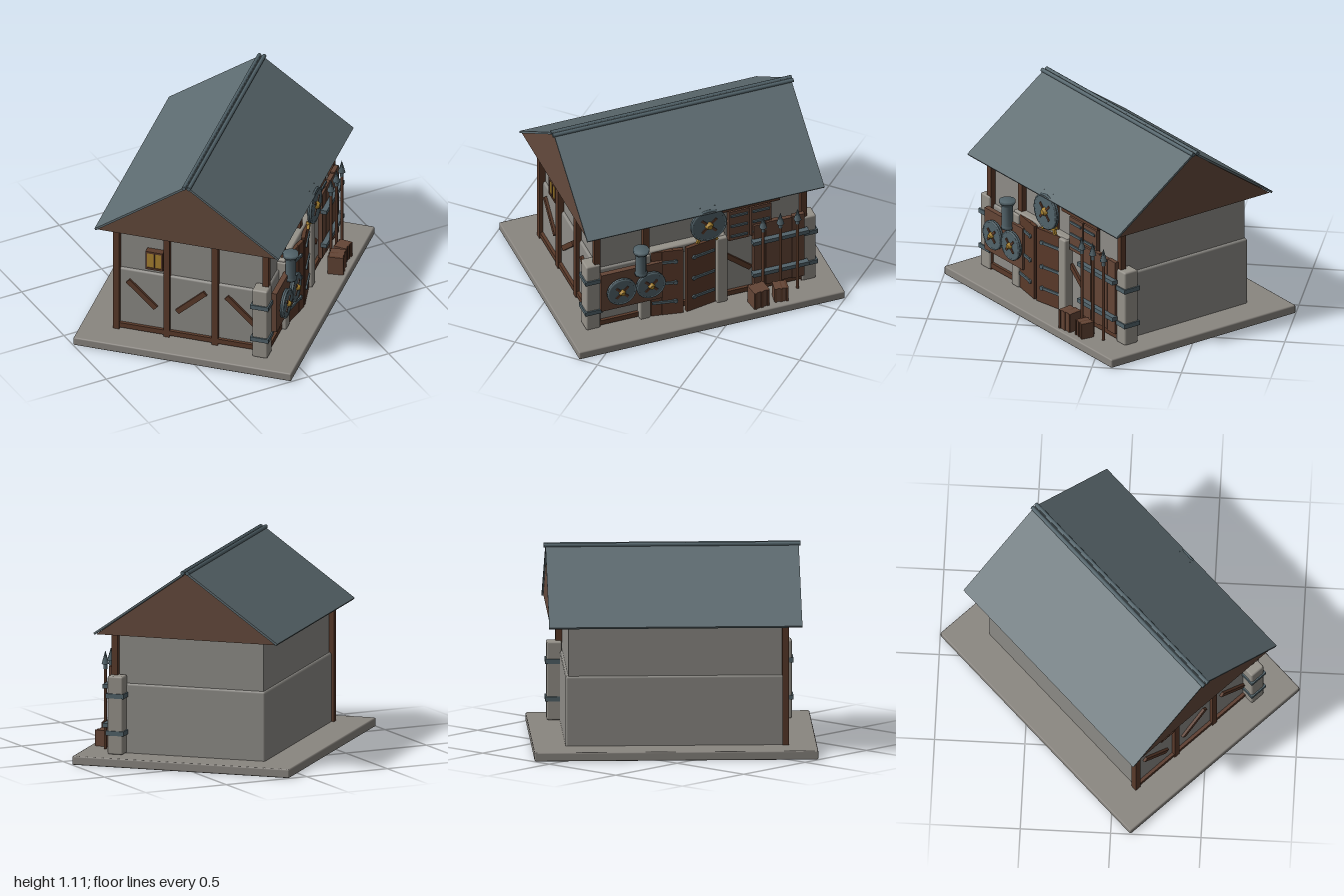
import * as THREE from 'three';
import { RoundedBoxGeometry } from 'three/addons/geometries/RoundedBoxGeometry.js';

const material = (name, color) => {
  const m = new THREE.MeshStandardMaterial({ color });
  m.name = name;
  return m;
};

export function createModel() {
  const baseStone = material('base stone', 0x8a8680);
  const wallStone = material('wall stone', 0x8e8c87);
  const paleStone = material('pale stone', 0x96928a);
  const slate = material('slate roof', 0x5d6b70);
  const steel = material('steel', 0x52636a);
  const timber = material('timber', 0x5a3a2a);
  const plank = material('plank', 0x644536);
  const gableWood = material('gable wood', 0x644a3c);
  const gold = material('gold', 0xa8822f);

  const model = new THREE.Group();
  model.name = 'workshop';
  // The building stands diagonally: its long side runs along local x, facade at local +z
  model.rotation.y = Math.PI / 4;

  const add = (name, geometry, mat, x, y, z, parent = model) => {
    const mesh = new THREE.Mesh(geometry, mat);
    mesh.name = name;
    mesh.position.set(x, y, z);
    parent.add(mesh);
    return mesh;
  };
  const box = (name, mat, w, h, d, x, y, z, parent) =>
    add(name, new THREE.BoxGeometry(w, h, d), mat, x, y, z, parent);
  const stone = (name, mat, w, h, d, x, y, z, r = 0.01) =>
    add(name, new RoundedBoxGeometry(w, h, d, 1, r), mat, x, y, z);
  const group = (name, x, y, z) => {
    const g = new THREE.Group();
    g.name = name;
    g.position.set(x, y, z);
    model.add(g);
    return g;
  };

  // Base and walls
  stone('base', baseStone, 1.57, 0.05, 1.26, 0, 0.025, 0, 0.008);
  stone('lowerWall', wallStone, 1.21, 0.4, 0.865, 0, 0.24, 0, 0.012);
  box('upperWall', wallStone, 1.18, 0.32, 0.84, 0, 0.58, 0);

  // Gable block under the roof
  const gable = new THREE.Shape();
  gable.moveTo(-0.52, 0.725);
  gable.lineTo(0.52, 0.725);
  gable.lineTo(0, 1.095);
  const gableGeometry = new THREE.ExtrudeGeometry(gable, { depth: 1.38, bevelEnabled: false });
  gableGeometry.translate(0, 0, -0.69).rotateY(Math.PI / 2);
  add('gable', gableGeometry, gableWood, 0, 0, 0);

  // Roof slopes and ridge rolls
  const pitch = Math.atan2(0.375, 0.53);
  for (const s of [1, -1]) {
    const slope = box('roofSlope', slate, 1.4, 0.012, 0.65, 0, 0.916, s * 0.265);
    slope.rotation.x = s * pitch;
    const roll = add('ridgeRoll', new THREE.CylinderGeometry(0.012, 0.012, 1.42, 8), steel, 0, 1.102, s * 0.014);
    roll.rotation.z = Math.PI / 2;
  }

  // Timber frame: facade
  for (const x of [-0.61, -0.32, -0.01, 0.61]) box('facadePost', timber, 0.035, 0.67, 0.035, x, 0.385, 0.433);
  box('facadeSill', timber, 1.22, 0.03, 0.03, 0, 0.075, 0.435);
  box('facadeTopRail', timber, 1.22, 0.03, 0.03, 0, 0.712, 0.433);
  box('facadeBrace', timber, 0.2, 0.03, 0.02, 0.22, 0.28, 0.437).rotation.z = -0.7;

  // Timber frame: left end
  for (const z of [-0.43, -0.14, 0.14]) box('endPost', timber, 0.035, 0.67, 0.035, -0.61, 0.385, z);
  box('endSill', timber, 0.03, 0.03, 0.86, -0.608, 0.075, 0);
  box('endTopRail', timber, 0.03, 0.03, 0.86, -0.608, 0.712, 0);
  [-0.285, 0, 0.285].forEach((z, i) => {
    box('endBrace', timber, 0.02, 0.03, 0.22, -0.61, 0.295, z).rotation.x = i === 1 ? -0.75 : 0.75;
  });

  // Small glowing lantern window on the left end
  const lantern = group('lanternWindow', -0.605, 0.535, -0.21);
  box('lanternPane', gold, 0.04, 0.1, 0.085, 0, 0, 0, lantern);
  for (const y of [-0.052, 0.052]) box('lanternCap', timber, 0.05, 0.012, 0.1, 0, y, 0, lantern);
  for (const z of [-0.045, 0, 0.045]) box('lanternBar', timber, 0.05, 0.1, 0.008, 0, 0, z, lantern);

  // Corner pillars with steel bands
  for (const s of [-1, 1]) {
    stone('cornerPillar', paleStone, 0.085, 0.44, 0.09, s * 0.636, 0.27, 0.415);
    for (const y of [0.17, 0.38]) box('pillarBand', steel, 0.1, 0.026, 0.105, s * 0.636, y, 0.415);
  }

  // Stone doorway
  stone('leftJamb', paleStone, 0.065, 0.44, 0.07, -0.335, 0.27, 0.44);
  stone('rightJamb', paleStone, 0.065, 0.45, 0.07, 0.115, 0.275, 0.45);
  stone('doorLintel', paleStone, 0.5, 0.06, 0.06, -0.11, 0.475, 0.435);

  // Pair of doors, slightly open, with strap hinges
  for (const s of [-1, 1]) {
    const leaf = group('doorLeaf', -0.11 + s * 0.19, 0.275, 0.455);
    leaf.rotation.y = s * 0.18;
    for (let i = 0; i < 3; i++) {
      box('doorPlank', timber, 0.06, 0.44, 0.022, -s * (0.032 + i * 0.061), 0, 0, leaf);
    }
    for (const y of [-0.13, 0, 0.145]) {
      box('strapHinge', steel, 0.135, 0.016, 0.014, -s * 0.075, y, 0.012, leaf);
      const knob = add('hingeKnob', new THREE.CylinderGeometry(0.013, 0.013, 0.016, 8), steel, -s * 0.14, y, 0.013, leaf);
      knob.rotation.x = Math.PI / 2;
    }
  }

  // Display board left of the doors
  box('displayBoard', plank, 0.36, 0.25, 0.03, -0.42, 0.31, 0.475);

  // Round shields with a gold boss and a wooden cross
  const shield = (x, y, z, r) => {
    const g = group('shield', x, y, z);
    const disc = add('shieldDisc', new THREE.CylinderGeometry(r * 0.94, r, 0.022, 20), steel, 0, 0, 0, g);
    disc.rotation.x = Math.PI / 2;
    add('shieldRim', new THREE.TorusGeometry(r * 0.95, 0.007, 6, 20), steel, 0, 0, 0.006, g);
    for (const a of [1, -1]) {
      box('shieldCross', timber, r * 1.15, 0.014, 0.01, 0, 0, 0.011, g).rotation.z = a * Math.PI / 4;
    }
    const boss = add('shieldBoss', new THREE.CylinderGeometry(r * 0.14, r * 0.28, 0.025, 8), gold, 0, 0, 0.018, g);
    boss.rotation.x = Math.PI / 2;
  };
  shield(-0.49, 0.312, 0.51, 0.084);
  shield(-0.318, 0.312, 0.51, 0.084);
  shield(0.02, 0.645, 0.518, 0.105);

  // Crossed swords behind the large shield
  for (const s of [-1, 1]) {
    const sword = group('sword', 0.02, 0.645, 0.498);
    sword.rotation.z = s * 0.42;
    box('swordBlade', steel, 0.018, 0.2, 0.008, 0, 0.02, 0, sword);
    box('swordGuard', gold, 0.055, 0.016, 0.018, 0, -0.105, 0, sword);
    box('swordGrip', gold, 0.016, 0.04, 0.016, 0, -0.122, 0, sword);
  }

  // Steel flue above the board
  const flue = [[0, -0.09], [0.036, -0.09], [0.036, -0.075], [0.031, -0.07], [0.031, 0.045], [0.037, 0.05],
    [0.037, 0.06], [0.046, 0.063], [0.046, 0.082], [0, 0.082]].map(([r, y]) => new THREE.Vector2(r, y));
  add('flue', new THREE.LatheGeometry(flue, 10), steel, -0.371, 0.485, 0.5);

  // Shuttered window with steel bars and a wooden hood
  for (const x of [0.222, 0.352]) {
    box('shutter', plank, 0.122, 0.2, 0.025, x, 0.55, 0.45);
    for (const y of [0.48, 0.55, 0.62]) box('shutterBar', steel, 0.1, 0.014, 0.012, x, y, 0.464);
  }
  box('windowHood', timber, 0.34, 0.035, 0.06, 0.285, 0.692, 0.455);

  // Weapon rack with spears
  for (let i = 0; i < 4; i++) {
    box('rackPlank', plank, 0.072, 0.42 + (i % 2) * 0.012, 0.025, 0.34 + i * 0.076, 0.315, 0.462);
  }
  for (const y of [0.2, 0.42]) box('rackRail', steel, 0.33, 0.024, 0.035, 0.455, y, 0.487);
  for (const x of [0.345, 0.447, 0.548]) {
    add('spearShaft', new THREE.CylinderGeometry(0.009, 0.009, 0.47, 8), timber, x, 0.29, 0.512);
    add('spearSocket', new THREE.CylinderGeometry(0.011, 0.011, 0.03, 8), steel, x, 0.52, 0.512);
    add('spearHead', new THREE.ConeGeometry(0.022, 0.075, 6), steel, x, 0.57, 0.512);
  }

  // Crates
  for (const [x, z, size, h, turn] of [[0.3, 0.56, 0.095, 0.11, 0.12], [0.43, 0.555, 0.08, 0.09, -0.15]]) {
    const crate = group('crate', x, 0.05 + h / 2, z);
    crate.rotation.y = turn;
    box('crateBody', plank, size, h, size * 0.85, 0, 0, 0, crate);
    for (const s of [-1, 0, 1]) box('crateSlat', timber, 0.012, h, size * 0.85 + 0.01, s * size * 0.4, 0, 0, crate);
  }

  const root = new THREE.Group();
  root.name = 'model';
  root.add(model);
  return root;
}
